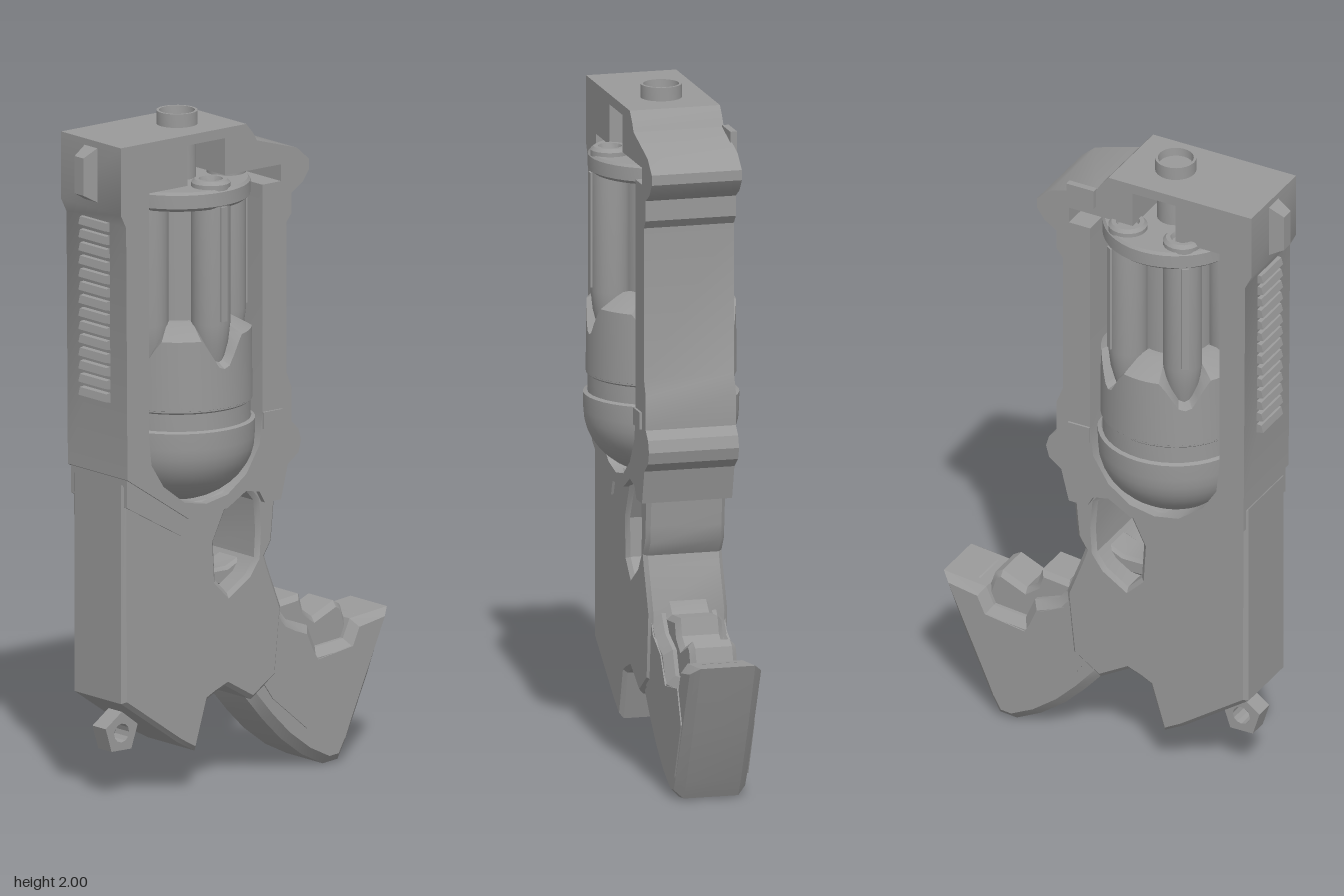
import * as THREE from 'three';
import { toCreasedNormals } from 'three/addons/utils/BufferGeometryUtils.js';

const gunmetal = new THREE.MeshStandardMaterial({ color: 0x999999 });
gunmetal.name = 'plain grey';

const points = (list) => list.map(([x, y]) => new THREE.Vector2(x, y));

export function createModel() {
  const model = new THREE.Group();
  model.name = 'toyRevolver';

  function add(name, geometry, x = 0, y = 0, z = 0, crease = 0.6) {
    const mesh = new THREE.Mesh(toCreasedNormals(geometry, crease), gunmetal);
    mesh.name = name;
    mesh.position.set(x, y, z);
    model.add(mesh);
    return mesh;
  }

  // Slab centred on z, with chamfers cut inside the outline
  function slab(name, outline, halfDepth, bevel = 0, holes = [], z = 0) {
    const shape = new THREE.Shape(points(outline));
    holes.forEach((h) => shape.holes.push(new THREE.Path(points(h))));
    const geometry = new THREE.ExtrudeGeometry(shape, {
      depth: 2 * (halfDepth - bevel), bevelEnabled: bevel > 0, bevelSegments: 1,
      bevelSize: bevel, bevelThickness: bevel, bevelOffset: -bevel,
    });
    geometry.translate(0, 0, -(halfDepth - bevel));
    return add(name, geometry, 0, 0, z, 0.5);
  }

  const box = (name, x0, x1, y0, y1, z0, z1) => add(name,
    new THREE.BoxGeometry(x1 - x0, y1 - y0, z1 - z0), (x0 + x1) / 2, (y0 + y1) / 2, (z0 + z1) / 2);

  const lathe = (name, profile, x, z, segments = 40) =>
    add(name, new THREE.LatheGeometry(points(profile), segments), x, 0, z);

  // Frame around the drum, with the rod slot and the hinge notch in its window
  slab('frame', [
    [-0.5, 1.96], [-0.5, 1.76], [-0.48, 1.72], [-0.475, 0.97], [-0.245, 0.82], [-0.1, 0.83],
    [-0.03, 0.87], [0.02, 0.86], [0.04, 0.825], [0.1, 0.825], [0.125, 0.925], [0.165, 0.955],
    [0.175, 0.99], [0.165, 1.025], [0.14, 1.05], [0.14, 1.15], [0.12, 1.2], [0.12, 1.645],
    [0.14, 1.67], [0.14, 1.73], [0.18, 1.755], [0.205, 1.79], [0.205, 1.82], [0.16, 1.86],
    [0.01, 1.905], [-0.005, 1.93], [-0.03, 1.96],
  ], 0.135, 0, [[
    [-0.395, 1.81], [-0.25, 1.81], [-0.25, 1.93], [-0.11, 1.93], [-0.11, 1.82], [0.1, 1.82],
    [0.1, 1.77], [0.03, 1.77], [0.03, 1.09], [0.02, 1.0], [-0.03, 0.92], [-0.1, 0.87],
    [-0.18, 0.855], [-0.26, 0.87], [-0.34, 0.93], [-0.385, 1.0], [-0.395, 1.09],
  ]]);

  // Hinge details
  box('hingeBump', 0.01, 0.1, 1.85, 1.91, -0.15, -0.13);
  box('hingePin', 0.03, 0.1, 1.045, 1.095, -0.142, 0.142);

  // Receiver with the trigger opening
  slab('receiver', [
    [-0.475, 0.95], [-0.475, 0.3], [-0.265, 0.155], [-0.2, 0.12], [-0.155, 0.265], [-0.125, 0.28],
    [-0.085, 0.295], [0.01, 0.24], [0.1, 0.3], [0.12, 0.5], [0.07, 0.63], [0.06, 0.66],
    [0.085, 0.7], [0.09, 0.75], [0.1, 0.86], [-0.02, 0.9], [-0.15, 0.86], [-0.26, 0.86],
  ], 0.118, 0.012, [[
    [-0.075, 0.845], [-0.01, 0.865], [0.02, 0.83], [0.027, 0.74], [0.022, 0.66],
    [-0.01, 0.615], [-0.08, 0.57], [-0.125, 0.615], [-0.132, 0.73],
  ]]);

  // Diagonal tongue from the frame into the receiver
  slab('tongue', [[-0.47, 0.97], [-0.47, 0.885], [-0.265, 0.77], [-0.245, 0.82]], 0.126);

  // Curved trigger across the opening
  slab('trigger', [
    [-0.14, 0.65], [-0.09, 0.63], [-0.03, 0.63], [0.04, 0.66],
    [0.03, 0.61], [-0.03, 0.575], [-0.1, 0.575],
  ], 0.05, 0.01);

  // Grip, finger rest and side panels
  slab('grip', [
    [0.07, 0.62], [0.02, 0.52], [-0.005, 0.42], [-0.005, 0.3], [0.01, 0.24], [0.075, 0.165],
    [0.14, 0.1], [0.22, 0.04], [0.3, 0], [0.355, 0.005], [0.385, 0.06], [0.465, 0.24],
    [0.54, 0.43], [0.4, 0.415], [0.375, 0.36], [0.27, 0.35], [0.24, 0.42], [0.16, 0.45], [0.105, 0.52],
  ], 0.107, 0.025);
  slab('fingerRest', [
    [0.065, 0.63], [0.1, 0.54], [0.14, 0.5], [0.23, 0.51], [0.245, 0.46], [0.28, 0.435],
    [0.36, 0.47], [0.385, 0.455], [0.4, 0.41], [0.44, 0.42], [0.4, 0.3], [0.2, 0.3], [0.06, 0.4],
  ], 0.07, 0.015);
  for (const side of [-1, 1]) {
    slab('gripPanel', [
      [0.07, 0.55], [0.03, 0.45], [0.035, 0.31], [0.09, 0.23], [0.22, 0.12], [0.36, 0.07],
      [0.43, 0.24], [0.39, 0.34], [0.26, 0.32], [0.21, 0.4], [0.13, 0.44],
    ], 0.005, 0, [], side * 0.106);
  }

  // Lanyard ring: a five-sided loop under the receiver
  const corner = (r, n, i, turn) => [
    -0.41 + r * Math.cos(turn + (i * 2 * Math.PI) / n), 0.19 + r * Math.sin(turn + (i * 2 * Math.PI) / n)];
  slab('lanyardRing', Array.from({ length: 5 }, (_, i) => corner(0.063, 5, i, 0.3)), 0.03, 0,
    [Array.from({ length: 12 }, (_, i) => corner(0.028, 12, i, 0))]);

  // Sight rail and ribbed strip along the barrel side
  const sight = add('sight', new THREE.CylinderGeometry(0.028, 0.042, 0.05, 4, 1).rotateY(Math.PI / 4)
    .rotateZ(Math.PI / 2), -0.52, 1.86, 0, 0.3);
  sight.scale.y = 2.8;
  for (let i = 0; i < 14; i++) {
    const y = 1.2 + i * 0.039;
    slab('rib', [[-0.47, y - 0.015], [-0.47, y + 0.017], [-0.492, y + 0.014], [-0.498, y - 0.008]], 0.06);
  }

  // Drum: bowl, bands, scalloped shoulder, five tubes and the end plate
  const cx = -0.178;
  const bowl = [[0, 0.85], [0.06, 0.853]];
  for (let i = 2; i <= 10; i++) {
    const a = (i / 10) * Math.PI / 2;
    bowl.push([0.225 * Math.sin(a), 1.04 - 0.19 * Math.cos(a)]);
  }
  bowl.push([0.226, 1.09], [0.215, 1.095]);
  lathe('drumBowl', bowl, cx, 0);
  lathe('drumBand', [[0.212, 1.09], [0.212, 1.145], [0.218, 1.15], [0.218, 1.165]], cx, 0);

  const shoulder = new THREE.LatheGeometry(
    points([[0.214, 1.15], [0.218, 1.155], [0.216, 1.36], [0.14, 1.4], [0.08, 1.4]]), 70);
  const position = shoulder.attributes.position;
  const step = (2 * Math.PI) / 5;
  for (let i = 0; i < position.count; i++) {
    if (position.getY(i) < 1.3) continue;
    const angle = Math.atan2(position.getX(i), position.getZ(i));
    const off = Math.abs(angle - Math.round(angle / step) * step);
    const notch = Math.min(1, Math.max(0, 1.25 * (1 - off / 0.34)));
    position.setY(i, position.getY(i) - 0.09 * notch);
  }
  shoulder.computeVertexNormals();
  add('drumShoulder', shoulder, cx, 0, 0, 0.5);

  lathe('drumCore', [[0.11, 1.25], [0.11, 1.76]], cx, 0);
  for (let i = 0; i < 5; i++) {
    const x = cx + 0.153 * Math.sin(i * step);
    const z = 0.153 * Math.cos(i * step);
    lathe('drumTube', [[0, 1.24], [0.03, 1.265], [0.05, 1.34], [0.057, 1.4], [0.057, 1.815],
      [0.048, 1.825], [0.035, 1.825], [0.03, 1.81], [0, 1.81]], x, z, 20);
    // Raised spine along each tube
    const spine = add('tubeSpine', new THREE.BoxGeometry(0.022, 0.34, 0.012),
      cx + 0.209 * Math.sin(i * step), 1.58, 0.209 * Math.cos(i * step));
    spine.rotation.y = i * step;
  }
  lathe('drumEndPlate', [[0, 1.745], [0.2, 1.745], [0.212, 1.755], [0.212, 1.795], [0.205, 1.803], [0, 1.803]], cx, 0);

  // Ejector rod and its hollow cap
  lathe('ejectorRod', [[0.055, 1.8], [0.055, 1.95]], cx, 0, 24);
  lathe('ejectorCap', [[0.06, 1.94], [0.06, 2], [0.052, 2], [0.05, 1.975], [0, 1.975]], cx, 0, 24);

  return model;
}
